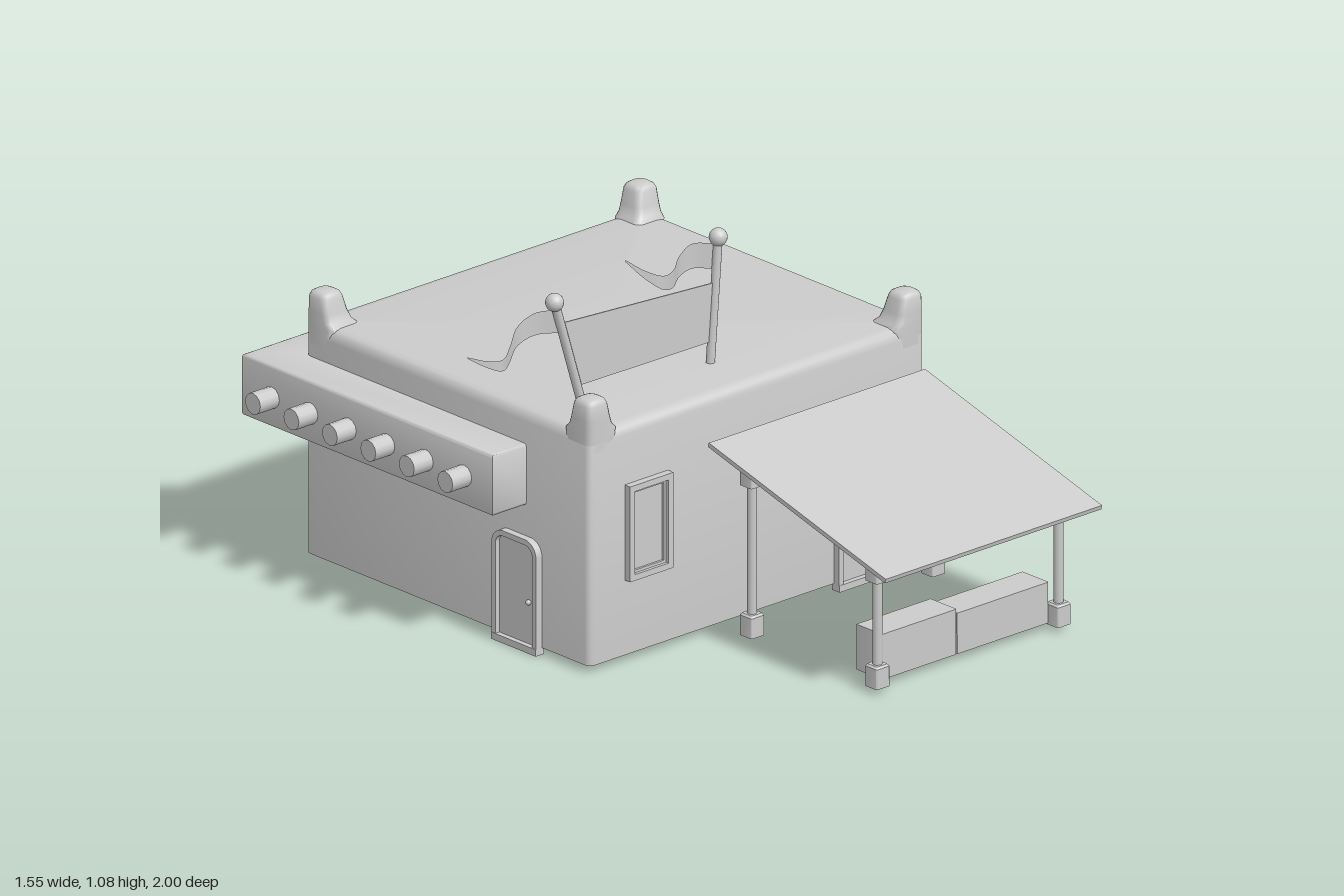
import * as THREE from 'three';
import { toCreasedNormals } from 'three/addons/utils/BufferGeometryUtils.js';

const grey = new THREE.MeshStandardMaterial({ color: 0xcccccc, side: THREE.DoubleSide });
const V = (x, y, z) => new THREE.Vector3(x, y, z);

function add(parent, name, geometry, x = 0, y = 0, z = 0) {
  const mesh = new THREE.Mesh(geometry, grey);
  mesh.name = name;
  mesh.position.set(x, y, z);
  parent.add(mesh);
  return mesh;
}

function group(parent, name) {
  const g = new THREE.Group();
  g.name = name;
  parent.add(g);
  return g;
}

// Skin over stacked rounded rectangles [y, x0, x1, z0, z1, radius]; closed on top, open below
function loft(sections, crease = 0.9) {
  const pos = [], index = [], n = 16;
  for (const [y, x0, x1, z0, z1, r] of sections) {
    for (let c = 0; c < 4; c++) for (let k = 0; k < 4; k++) {
      const a = (c + k / 3) * Math.PI / 2;
      const cx = c === 0 || c === 3 ? x1 - r : x0 + r;
      const cz = c < 2 ? z1 - r : z0 + r;
      pos.push(cx + r * Math.cos(a), y, cz + r * Math.sin(a));
    }
  }
  for (let s = 0; s < sections.length - 1; s++) for (let i = 0; i < n; i++) {
    const a = s * n + i, b = s * n + (i + 1) % n;
    index.push(a, a + n, b, b, a + n, b + n);
  }
  const [y, x0, x1, z0, z1] = sections.at(-1), last = (sections.length - 1) * n;
  pos.push((x0 + x1) / 2, y, (z0 + z1) / 2);
  for (let i = 0; i < n; i++) index.push(pos.length / 3 - 1, last + (i + 1) % n, last + i);
  const g = new THREE.BufferGeometry();
  g.setAttribute('position', new THREE.Float32BufferAttribute(pos, 3));
  g.setIndex(index);
  return toCreasedNormals(g, crease);
}

// Upright outline with rounded upper corners
function outline(w, h, r, Type = THREE.Shape) {
  const s = new Type();
  s.moveTo(-w / 2, -h / 2).lineTo(w / 2, -h / 2).lineTo(w / 2, h / 2 - r);
  if (r) s.absarc(w / 2 - r, h / 2 - r, r, 0, Math.PI / 2);
  else s.lineTo(-w / 2, h / 2);
  if (r) s.absarc(-w / 2 + r, h / 2 - r, r, Math.PI / 2, Math.PI);
  s.closePath();
  return s;
}

// Rectangular or round-topped frame, facing +z
function frame(w, h, border, r, depth) {
  const s = outline(w, h, r);
  s.holes.push(outline(w - 2 * border, h - 2 * border, Math.max(0, r - border), THREE.Path));
  return new THREE.ExtrudeGeometry(s, { depth, bevelEnabled: false, curveSegments: 6 });
}

function addWindow(parent, x, y, z, turn) {
  const g = group(parent, 'window');
  add(g, 'windowFrame', frame(0.16, 0.28, 0.018, 0, 0.03), 0, 0, -0.008);
  add(g, 'windowInnerFrame', frame(0.124, 0.244, 0.008, 0, 0.018), 0, 0, -0.006);
  add(g, 'windowPane', new THREE.BoxGeometry(0.124, 0.244, 0.01));
  g.position.set(x, y, z);
  g.rotation.y = turn;
}

function addDoor(parent, x, z, turn) {
  const g = group(parent, 'door');
  add(g, 'doorFrame', frame(0.18, 0.33, 0.016, 0.045, 0.03), 0, 0.165, -0.008);
  add(g, 'doorPanel', new THREE.ExtrudeGeometry(outline(0.15, 0.3, 0.03),
    { depth: 0.01, bevelEnabled: false, curveSegments: 6 }), 0, 0.165, -0.003);
  add(g, 'doorStep', new THREE.BoxGeometry(0.18, 0.02, 0.03), 0, 0.01, 0.008);
  add(g, 'doorKnob', new THREE.SphereGeometry(0.008, 10, 8), 0.05, 0.145, 0.014);
  g.position.set(x, 0, z);
  g.rotation.y = turn;
}

// Cylinder between two points
function addRod(parent, name, a, b, r) {
  const m = add(parent, name, new THREE.CylinderGeometry(r, r, a.distanceTo(b), 12));
  m.position.copy(a).add(b).multiplyScalar(0.5);
  m.quaternion.setFromUnitVectors(V(0, 1, 0), b.clone().sub(a).normalize());
}

// Waving cloth through points [x, yTop, yBottom, z]
function ribbon(points) {
  const top = new THREE.CatmullRomCurve3(points.map(p => V(p[0], p[1], p[3])));
  const low = new THREE.CatmullRomCurve3(points.map(p => V(p[0], p[2], p[3])));
  const pos = [], index = [], n = 28;
  for (let i = 0; i <= n; i++) {
    pos.push(...top.getPoint(i / n).toArray(), ...low.getPoint(i / n).toArray());
    const k = 2 * i;
    if (i < n) index.push(k, k + 2, k + 1, k + 1, k + 2, k + 3);
  }
  const g = new THREE.BufferGeometry();
  g.setAttribute('position', new THREE.Float32BufferAttribute(pos, 3));
  g.setIndex(index);
  g.computeVertexNormals();
  return g;
}

export function createModel() {
  const model = new THREE.Group();
  model.name = 'house';
  const X0 = -0.49, X1 = 0.75, Z0 = -0.88, Z1 = 0.265;

  // Walls and roof in one soft-edged shell
  const ring = (y, inset, r) => [y, X0 + inset, X1 - inset, Z0 + inset, Z1 - inset, r];
  add(model, 'walls', loft([ring(0.02, 0, 0.02), ring(0.665, 0, 0.02), ring(0.685, 0.006, 0.02),
    ring(0.695, 0.016, 0.02), ring(0.698, 0.035, 0.02)]));

  // Flared corner turrets: [height, width, outer inset]
  const turret = [[0.64, 0.1, 0], [0.695, 0.108, 0], [0.71, 0.094, 0], [0.735, 0.086, 0],
    [0.775, 0.077, 0.001], [0.787, 0.072, 0.006], [0.792, 0.062, 0.014]];
  for (const right of [0, 1]) for (const front of [0, 1]) {
    add(model, 'cornerTurret', loft(turret.map(([y, w, i]) => [y,
      right ? X1 - w : X0 + i, right ? X1 - i : X0 + w,
      front ? Z1 - w : Z0 + i, front ? Z1 - i : Z0 + w, 0.02])));
  }

  // Windows and doors
  addWindow(model, -0.28, 0.38, Z1, 0);
  for (const z of [-0.35, -0.665]) addWindow(model, X1, 0.378, z, Math.PI / 2);
  addDoor(model, 0.503, Z1, 0);
  addDoor(model, X0, -0.017, -Math.PI / 2);

  // L-shaped ledge around the back corner
  const b = 0.008;
  const ledge = new THREE.Shape([[-0.615, -0.01], [-0.615, 1], [0.34, 1], [0.34, 0.87], [-0.48, 0.87], [-0.48, -0.01]]
    .map(([x, y]) => new THREE.Vector2(x, y)));
  const ledgeGeometry = new THREE.ExtrudeGeometry(ledge,
    { depth: 0.18 - 2 * b, bevelSize: b, bevelThickness: b, bevelOffset: -b, bevelSegments: 2 });
  ledgeGeometry.rotateX(-Math.PI / 2);
  add(model, 'ledge', toCreasedNormals(ledgeGeometry, 0.9), 0, 0.42 + b, 0);

  // Beam ends sticking out of the ledge
  for (let i = 0; i < 6; i++) {
    const z = -0.88 + i * 0.155;
    addRod(model, 'beamEnd', V(-0.6, 0.507, z), V(-0.685, 0.507, z), 0.031);
  }

  // Sloping awning on four posts
  const awning = group(model, 'awning');
  const slope = Math.atan2(0.19, 0.715);
  const panel = add(awning, 'awningPanel', new THREE.BoxGeometry(0.8, 0.013, 0.738), 0.33, 0.47, 0.6425);
  panel.rotation.x = slope;
  for (const x of [0.005, 0.675]) for (const [z, top] of [[0.885, 0.4], [0.38, 0.53]]) {
    addRod(awning, 'awningPost', V(x, 0.03, z), V(x, top, z), 0.014);
    const block = (y0, y1) => loft([[y0, -0.025, 0.025, -0.025, 0.025, 0.006], [y1 - 0.006, -0.025, 0.025, -0.025, 0.025, 0.006],
      [y1, -0.02, 0.02, -0.02, 0.02, 0.006]], 0.5);
    add(awning, 'postBase', block(0.015, 0.08), x, 0, z);
    add(awning, 'postCapital', block(top - 0.075, top), x, 0, z);
  }

  // Open-bottomed crates between the front posts
  for (const [x0, x1, h] of [[0.035, 0.31, 0.153], [0.313, 0.65, 0.14]]) {
    add(model, 'crate', loft([[0.02, x0, x1, 0.768, 0.872, 0.002], [h, x0, x1, 0.768, 0.872, 0.002]], 0.5));
  }

  // Leaning flagpoles with a banner stretched between them
  const flags = group(model, 'flags');
  const zf = 0.088;
  for (const [x0, x1, y1] of [[-0.35, -0.457, 1.03], [0.118, 0.148, 1.058]]) {
    addRod(flags, 'flagpole', V(x0, 0.685, zf), V(x1, y1, zf), 0.013);
    add(flags, 'poleBall', new THREE.SphereGeometry(0.026, 16, 12), x1, y1, zf);
  }
  const banner = new THREE.Shape([[-0.372, 0.762], [0.118, 0.758], [0.133, 0.928], [-0.428, 0.962]]
    .map(([x, y]) => new THREE.Vector2(x, y)));
  add(flags, 'banner', new THREE.ExtrudeGeometry(banner, { depth: 0.004, bevelEnabled: false }), 0, 0, zf - 0.002);

  // Waving pennants
  add(flags, 'pennant', ribbon([[-0.44, 1.003, 0.935, 0.085], [-0.5, 1.0, 0.935, 0.055], [-0.56, 0.975, 0.918, 0.05],
    [-0.62, 0.942, 0.897, 0.085], [-0.68, 0.93, 0.897, 0.12], [-0.73, 0.938, 0.919, 0.11], [-0.78, 0.956, 0.952, 0.088]]));
  add(flags, 'pennant', ribbon([[0.14, 1.04, 0.965, 0.085], [0.08, 1.046, 0.973, 0.055], [0.03, 1.025, 0.964, 0.06],
    [-0.03, 1.01, 0.96, 0.1], [-0.09, 1.018, 0.978, 0.122], [-0.14, 1.042, 1.018, 0.105], [-0.19, 1.08, 1.074, 0.083]]));

  return model;
}
